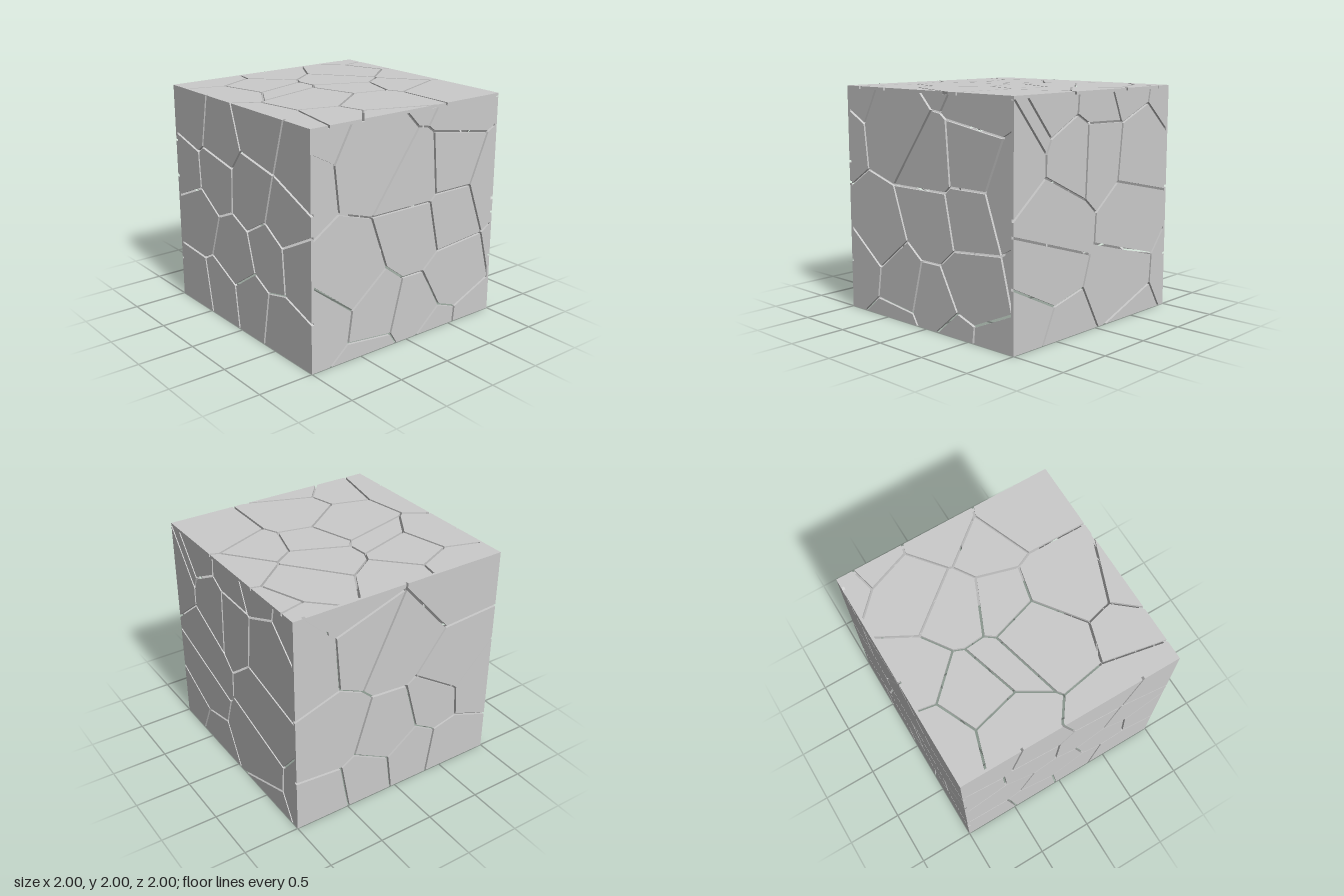
import * as THREE from 'three';

const THICK = 0.025; // wall thickness
const GAP = 0.02;    // crack width
const IN = 1 - THICK;

// Centres of the shards, [across, up, optional weight that shrinks the shard]
const FRONT = [
  [0.1, 0.94], [0.1, 1.43], [0.1, 0.22], [0.47, 1.02], [-0.63, 0.68], [0.47, 1.46], [-0.31, 1.73],
  [-1.24, 1.62], [-0.98, 2.1], [0.22, 2.24], [0.56, 2.02], [1.02, 1.22], [0.52, 0.45], [1.33, 0.66],
  [0.76, -0.1], [0.34, -0.06], [-0.36, 0.34], [-0.84, 0.41], [-0.41, -0.09],
];
const RIGHT = [
  [-0.01, 1.52], [0.64, 1.45], [0.51, 0.86], [0.37, 0.35], [-0.53, 0.93], [-0.24, 1.53], [0, 1.95],
  [-0.48, 1.99], [-0.75, 1.77, -0.08], [-1.02, 1.55], [0.37, 2.11], [1.1, 1.96], [-0.61, 0.67],
  [-0.43, -0.08], [-0.87, 0.13], [0.54, -0.11], [1.2, 0.29],
];
const BACK_UPPER = [[-0.45, 2.03], [-0.92, 1.55], [-0.3, 1.6], [-0.03, 1.47], [0.53, 1.96], [0.6, 0.98]];
const TOP = [
  [0.14, -0.07], [0.3, 0.3], [0.63, -0.21], [0.05, -0.48], [-0.18, -0.17], [-0.29, 0.25, -0.06],
  [-0.39, 0.58], [-0.09, 0.87], [-0.7, 0.5, -0.06], [-0.56, 0.95], [0.56, 0.51], [0.94, 0.04],
  [1.12, 0.72], [1.05, 1.01], [0.74, -0.49], [-0.3, -0.57, -0.18], [-1.32, -0.37], [-0.06, -0.77, -0.16],
];

// Staggered rows of shard centres, each nudged by a repeatable amount
function scatter(cols, rows, height) {
  const nudge = (n) => {
    const s = Math.sin(n * 12.9898) * 43758.5453;
    return s - Math.floor(s) - 0.5;
  };
  const centres = [];
  for (let r = 0; r < rows; r++) {
    for (let c = 0; c < cols; c++) {
      const n = 2 * (r * cols + c) + 1;
      const across = (c + 0.35 + (r % 2) * 0.3 + 0.5 * nudge(n)) / cols;
      const up = (r + 0.5 + 0.5 * nudge(n + 1)) / rows;
      centres.push([across * 2 - 1, up * height]);
    }
  }
  return centres;
}

// Keep the part of a convex polygon where dot(p, n) <= d
function clip(poly, nx, ny, d) {
  const out = [];
  poly.forEach((p, i) => {
    const q = poly[(i + 1) % poly.length];
    const a = p.x * nx + p.y * ny - d;
    const b = q.x * nx + q.y * ny - d;
    if (a <= 0) out.push(p);
    if (a * b < 0) out.push(p.clone().lerp(q, a / (a - b)));
  });
  return out;
}

// Outline of one shard: the wall rectangle cut halfway to every other centre
function shardOutline(centre, centres, [u0, u1, v0, v1]) {
  let poly = [[u0, v0], [u1, v0], [u1, v1], [u0, v1]].map(([x, y]) => new THREE.Vector2(x, y));
  const [ax, ay, aw = 0] = centre;
  for (const other of centres) {
    if (other === centre) continue;
    const [bx, by, bw = 0] = other;
    const dist = Math.hypot(bx - ax, by - ay);
    const nx = (bx - ax) / dist;
    const ny = (by - ay) / dist;
    const reach = (dist * dist + aw - bw) / (2 * dist) - GAP / 2;
    poly = clip(poly, nx, ny, ax * nx + ay * ny + reach);
  }
  return poly;
}

const material = new THREE.MeshStandardMaterial({ color: 0xcccccc, flatShading: true });

// A cracked slab in the xy plane, its outer face at z = 1
function crackedSlab(name, centres, rect) {
  const slab = new THREE.Group();
  slab.name = name;
  for (const centre of centres) {
    const outline = shardOutline(centre, centres, rect);
    if (outline.length < 3 || THREE.ShapeUtils.area(outline) < 0.0005) continue;
    const geometry = new THREE.ExtrudeGeometry(new THREE.Shape(outline), { depth: THICK, bevelEnabled: false });
    geometry.translate(0, 0, IN);
    const shard = new THREE.Mesh(geometry, material);
    shard.name = `${name}Shard`;
    slab.add(shard);
  }
  return slab;
}

export function createModel() {
  const model = new THREE.Group();
  model.name = 'crackedOpenBox';

  // Four walls, turned about the upright axis; front and right stop under the top
  const front = crackedSlab('frontWall', FRONT, [-IN, IN, 0, 1 + IN]);
  const right = crackedSlab('rightWall', RIGHT, [-1, IN, 0, 1 + IN]);
  const back = crackedSlab('backWall', [...BACK_UPPER, ...scatter(4, 2, 0.9)], [-1, 1, 0, 2]);
  const left = crackedSlab('leftWall', scatter(4, 4, 2), [-IN, 1, 0, 2]);
  [front, right, back, left].forEach((wall, i) => {
    wall.rotation.y = (i * Math.PI) / 2;
    model.add(wall);
  });

  // Top panel, laid flat; the underside of the box stays open
  const top = crackedSlab('topPanel', TOP, [-IN, 1, -1, IN]);
  top.rotation.x = -Math.PI / 2;
  top.position.y = 1;
  model.add(top);
  return model;
}
